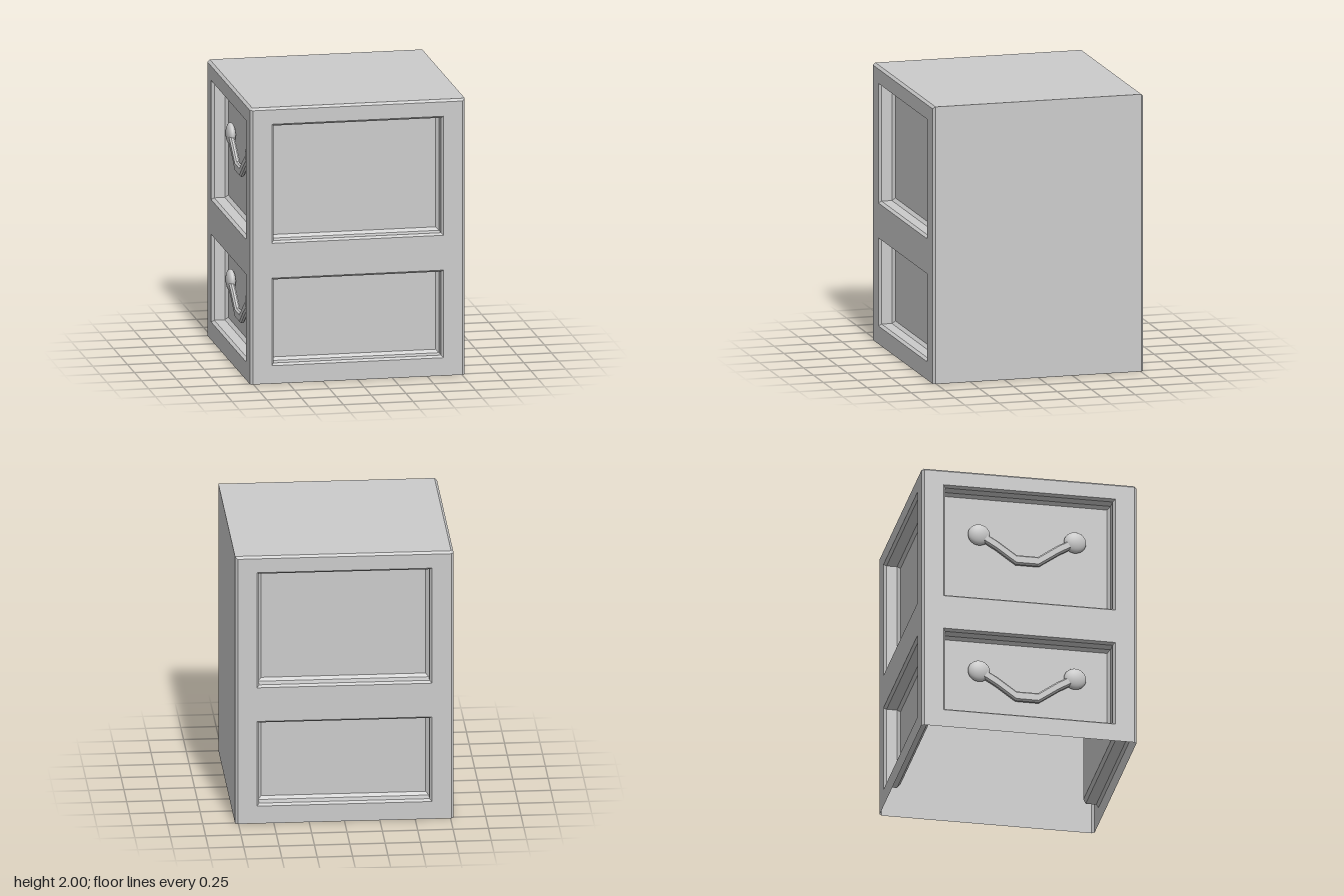
import * as THREE from 'three';

const W = 0.773;      // half width of the cabinet
const A = 0.755;      // half width of a wall inside its chamfers
const H = 2;
const HW = 1.984;     // wall height below the top chamfer
const PANELS = [[0.13, 0.765], [1.017, 1.88]]; // bottom and top of each recess
const PANEL_X = 0.618;
// moulding steps: [inset, depth]
const MOULDING = [[0, 0], [0.015, 0.02], [0.015, 0.095], [0.036, 0.116]];

const material = new THREE.MeshStandardMaterial({ color: 0xcccccc });
const sheet = new THREE.MeshStandardMaterial({ color: 0xcccccc, side: THREE.DoubleSide });

function addMesh(parent, name, geometry, mat = material) {
  const mesh = new THREE.Mesh(geometry, mat);
  mesh.name = name;
  parent.add(mesh);
  return mesh;
}

// flat-shaded geometry from convex polygons, each fanned into triangles
function polygons(list) {
  const pos = [];
  for (const p of list) {
    for (let i = 1; i < p.length - 1; i++) pos.push(...p[0], ...p[i], ...p[i + 1]);
  }
  const g = new THREE.BufferGeometry();
  g.setAttribute('position', new THREE.Float32BufferAttribute(pos, 3));
  g.computeVertexNormals();
  return g;
}

// corners of a recess loop, counter-clockwise from the front
function loop([y0, y1], [inset, depth]) {
  const x = PANEL_X - inset, b = y0 + inset, t = y1 - inset;
  return [[-x, b, -depth], [x, b, -depth], [x, t, -depth], [-x, t, -depth]];
}

// wall facing +z with two moulded recesses
function panelledWall(name) {
  const wall = new THREE.Group();
  wall.name = name;
  const shape = new THREE.Shape([[-A, 0], [A, 0], [A, HW], [-A, HW]].map(p => new THREE.Vector2(...p)));
  for (const panel of PANELS) {
    const corners = loop(panel, MOULDING[0]).map(p => new THREE.Vector2(p[0], p[1]));
    shape.holes.push(new THREE.Path(corners.reverse()));
  }
  addMesh(wall, 'wallFrame', new THREE.ShapeGeometry(shape), sheet).position.z = W;

  for (const panel of PANELS) {
    const loops = MOULDING.map(step => loop(panel, step));
    const faces = [loops[loops.length - 1]];
    for (let i = 0; i < loops.length - 1; i++) {
      for (let k = 0; k < 4; k++) {
        const n = (k + 1) % 4;
        faces.push([loops[i][k], loops[i][n], loops[i + 1][n], loops[i + 1][k]]);
      }
    }
    addMesh(wall, 'recessedPanel', polygons(faces), sheet).position.z = W;
  }
  return wall;
}

// plain side, top and all chamfers
function shellGeometry() {
  const faces = [
    [[W, 0, A], [W, 0, -A], [W, H, -A], [W, H, A]],          // plain side
    [[-A, H, A], [W, H, A], [W, H, -A], [-A, H, -A]],        // top
    [[-W, HW, -A], [-W, HW, A], [-A, H, A], [-A, H, -A]],    // side top chamfer
  ];
  for (const s of [1, -1]) {
    const mirrored = [
      [[-A, HW, W], [A, HW, W], [W, H, A], [-A, H, A]],      // top chamfer
      [[A, 0, W], [W, 0, A], [W, H, A], [A, HW, W]],         // corner chamfers
      [[-W, 0, A], [-A, 0, W], [-A, HW, W], [-W, HW, A]],
      [[-W, HW, A], [-A, HW, W], [-A, H, A]],                // corner tip
    ];
    for (const f of mirrored) {
      const face = f.map(([x, y, z]) => [x, y, z * s]);
      faces.push(s > 0 ? face : face.reverse());
    }
  }
  return polygons(faces);
}

// drop handle: two flattened knobs and a sagging bar
function handle() {
  const group = new THREE.Group();
  group.name = 'handle';
  for (const s of [-1, 1]) {
    const knob = addMesh(group, 'knob', new THREE.SphereGeometry(0.08, 24, 16));
    knob.scale.z = 0.42;
    knob.position.x = 0.345 * s;
  }
  const path = [[-0.345, 0], [-0.22, -0.075], [-0.08, -0.175], [0.08, -0.175], [0.22, -0.075], [0.345, 0]];
  const half = 0.024, bevel = 0.012;
  const lower = path.map(([x, y]) => new THREE.Vector2(x, y - half));
  const upper = path.map(([x, y]) => new THREE.Vector2(x, y + half)).reverse();
  const bar = new THREE.ExtrudeGeometry(new THREE.Shape([...lower, ...upper]), {
    depth: 0.016, bevelSize: bevel, bevelThickness: bevel, bevelSegments: 1,
  });
  bar.translate(0, 0, -0.004);
  addMesh(group, 'handleBar', bar);
  return group;
}

export function createModel() {
  const model = new THREE.Group();
  model.name = 'cabinet';
  addMesh(model, 'shell', shellGeometry(), sheet);

  const front = panelledWall('frontWall');
  const back = panelledWall('backWall');
  back.rotation.y = Math.PI;
  const drawers = panelledWall('drawerWall');
  drawers.rotation.y = -Math.PI / 2;
  model.add(front, back, drawers);

  for (const y of [0.493, 1.553]) {
    const h = handle();
    h.position.set(0, y, 0.688);
    drawers.add(h);
  }
  return model;
}
